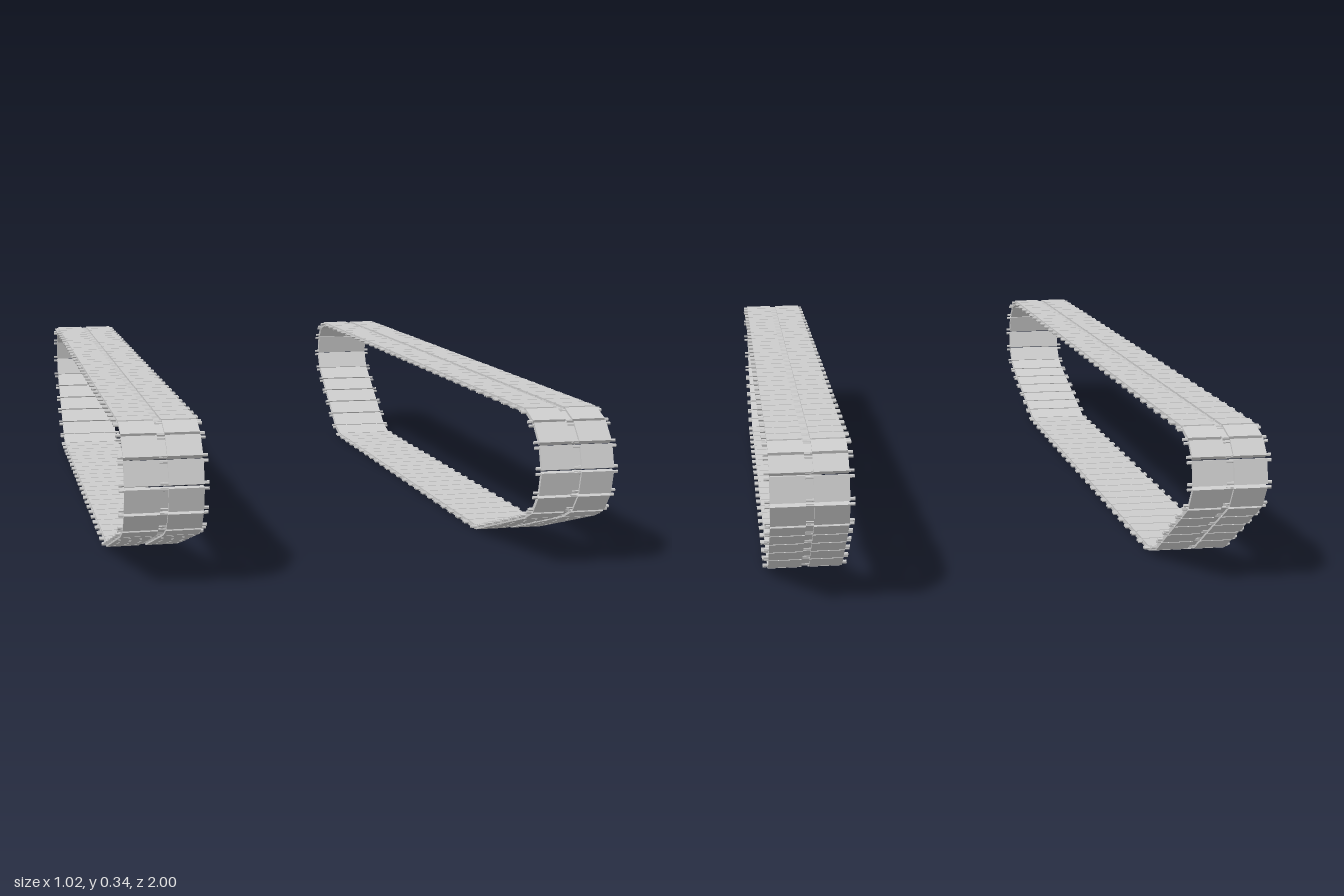
import * as THREE from 'three';

// Centre line of one belt as [z, y]: top run forwards, front curve, bottom run, rear curve
const PROFILE = [
  [-0.905, 0.331], [0.895, 0.32], [0.943, 0.301], [0.979, 0.262], [0.994, 0.21],
  [0.981, 0.158], [0.95, 0.119], [0.905, 0.099], [0.6, 0.007], [-0.69, 0.007],
  [-0.745, 0.025], [-0.966, 0.18], [-0.992, 0.229], [-0.981, 0.284], [-0.952, 0.316],
];
const PITCH = 0.055;
const TRACK_X = 0.422;

const mat = new THREE.MeshStandardMaterial({ color: 0xcccccc, flatShading: true });

function part(name, geometry, x, y, z) {
  const mesh = new THREE.Mesh(geometry, mat);
  mesh.name = name;
  mesh.position.set(x, y, z);
  return mesh;
}

// One link: local z runs along the belt, local y points outwards
function createLink(length) {
  const link = new THREE.Group();
  link.name = 'trackLink';
  const plateLength = length - 0.004;
  const plate = new THREE.BoxGeometry(0.154, 0.006, plateLength);
  const pad = new THREE.BoxGeometry(0.07, 0.006, plateLength);
  const pin = new THREE.CylinderGeometry(0.0035, 0.0035, 0.176, 6).rotateZ(Math.PI / 2);
  link.add(part('basePlate', plate, 0, -0.002, 0));
  for (const s of [-1, 1]) {
    link.add(part('outerPad', pad, s * 0.043, 0.003, 0));
    link.add(part('linkPin', pin, 0, 0, s * (length / 2 - 0.006)));
  }
  return link;
}

function createBelt(name) {
  const belt = new THREE.Group();
  belt.name = name;
  PROFILE.forEach(([z0, y0], i) => {
    const [z1, y1] = PROFILE[(i + 1) % PROFILE.length];
    const dz = z1 - z0, dy = y1 - y0;
    const run = Math.hypot(dz, dy);
    const count = Math.max(1, Math.round(run / PITCH));
    const master = createLink(run / count);
    for (let k = 0; k < count; k++) {
      const t = (k + 0.5) / count;
      const link = master.clone();
      link.position.set(0, y0 + dy * t, z0 + dz * t);
      link.rotation.x = Math.atan2(-dy, dz);
      belt.add(link);
    }
  });
  return belt;
}

export function createModel() {
  const model = new THREE.Group();
  model.name = 'trackPair';
  for (const [name, s] of [['leftTrack', 1], ['rightTrack', -1]]) {
    const belt = createBelt(name);
    belt.position.x = s * TRACK_X;
    model.add(belt);
  }
  return model;
}
